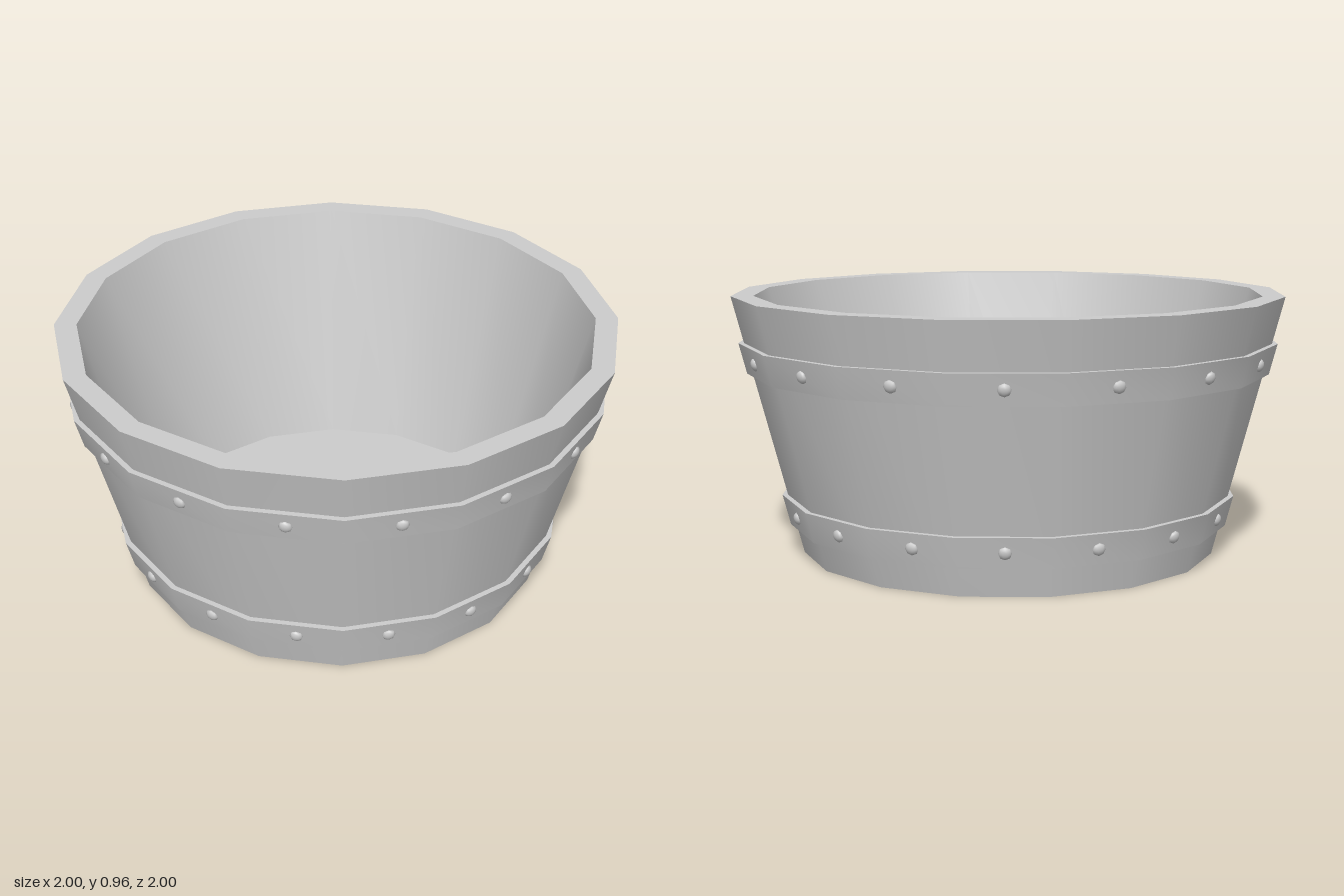
import * as THREE from 'three';
import { toCreasedNormals } from 'three/addons/utils/BufferGeometryUtils.js';

const SIDES = 16;
const HEIGHT = 0.96;
const SLOPE = (1 - 0.757) / HEIGHT;
const CORNER = 1 / Math.cos(Math.PI / SIDES); // flat-to-corner radius ratio

// Distance from the axis to the middle of an outer wall face at height y
const wall = (y) => 0.757 + SLOPE * y;

// Sixteen-sided turned solid with flats facing the axes
function turned(profile) {
  const points = profile.map(([r, y]) => new THREE.Vector2(r * CORNER, y));
  const geometry = new THREE.LatheGeometry(points, SIDES, Math.PI / SIDES);
  return toCreasedNormals(geometry, Math.PI / 5);
}

export function createModel() {
  const model = new THREE.Group();
  model.name = 'tub';
  const material = new THREE.MeshStandardMaterial({ color: 0xcccccc });

  function add(parent, name, geometry) {
    const mesh = new THREE.Mesh(geometry, material);
    mesh.name = name;
    parent.add(mesh);
    return mesh;
  }

  // Flared tub with a thick rim and raised floor
  add(model, 'tubBody', turned([
    [0, 0], [wall(0), 0], [wall(HEIGHT), HEIGHT],
    [0.92, HEIGHT], [0.69, 0.05], [0, 0.05],
  ]));

  // Domed rivet head pointing along +z
  const rivetGeometry = new THREE.SphereGeometry(0.024, 8, 4, 0, Math.PI * 2, 0, Math.PI / 2);
  rivetGeometry.rotateX(Math.PI / 2).scale(1, 1, 0.65);

  // Two hoops, each with one rivet per face
  for (const [name, y] of [['lowerHoop', 0.165], ['upperHoop', 0.733]]) {
    const hoop = new THREE.Group();
    hoop.name = name;
    model.add(hoop);
    const low = y - 0.056, high = y + 0.056, thick = 0.02;
    add(hoop, name + 'Band', turned([
      [wall(low) - 0.01, low], [wall(low) + thick, low],
      [wall(high) + thick, high], [wall(high) - 0.01, high],
      [wall(low) - 0.01, low],
    ]));
    for (let i = 0; i < SIDES; i++) {
      const angle = (i / SIDES) * Math.PI * 2;
      const r = wall(y) + thick - 0.001;
      const rivet = add(hoop, name + 'Rivet', rivetGeometry);
      rivet.position.set(Math.sin(angle) * r, y, Math.cos(angle) * r);
      rivet.rotation.set(Math.atan(SLOPE), angle, 0, 'YXZ');
    }
  }
  return model;
}
